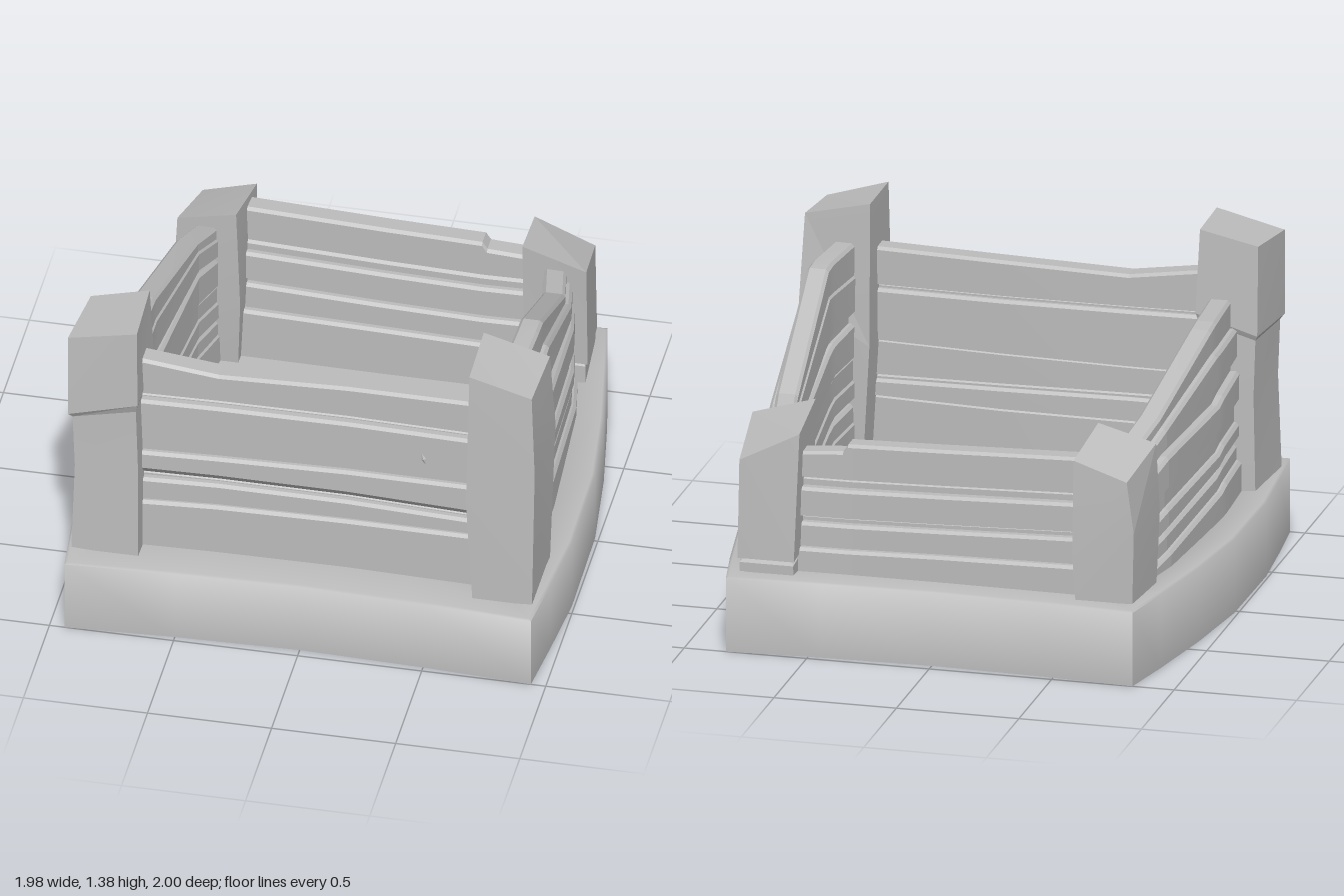
import * as THREE from 'three';
import { toCreasedNormals } from 'three/addons/utils/BufferGeometryUtils.js';

const wood = new THREE.MeshStandardMaterial({ color: 0xbcbcbc });
wood.name = 'weathered wood';

// Skin a list of equal-length rings of [x, y, z]; closed lofts join end to start, open ones get caps.
function loft(name, rings, closed = false, crease = 0.1) {
  const tris = [];
  const m = rings[0].length;
  const steps = closed ? rings.length : rings.length - 1;
  for (let i = 0; i < steps; i++) {
    const a = rings[i], b = rings[(i + 1) % rings.length];
    for (let j = 0; j < m; j++) {
      const k = (j + 1) % m;
      tris.push([a[j], b[j], b[k]], [a[j], b[k], a[k]]);
    }
  }
  if (!closed) {
    const first = rings[0], last = rings[rings.length - 1];
    for (let j = 1; j < m - 1; j++) {
      tris.push([first[0], first[j], first[j + 1]], [last[0], last[j + 1], last[j]]);
    }
  }
  // Turn the skin outward if its signed volume is negative
  let volume = 0;
  for (const [p, q, r] of tris) {
    volume += p[0] * (q[1] * r[2] - q[2] * r[1]) + p[1] * (q[2] * r[0] - q[0] * r[2])
      + p[2] * (q[0] * r[1] - q[1] * r[0]);
  }
  const flat = tris.flatMap(([p, q, r]) => (volume < 0 ? [p, r, q] : [p, q, r])).flat();
  const geo = new THREE.BufferGeometry();
  geo.setAttribute('position', new THREE.Float32BufferAttribute(flat, 3));
  const mesh = new THREE.Mesh(toCreasedNormals(geo, crease), wood);
  mesh.name = name;
  return mesh;
}

// Stacked bevelled planks. stations: [x, z, heights]; n: outward [x, z];
// depths per plank: [outer, inner, height of the slanted underside]
function plankWall(name, stations, n, depths) {
  const wall = new THREE.Group();
  wall.name = name;
  depths.forEach(([out, inn, under = 0.004], k) => {
    const rings = stations.map(([x, z, h]) => {
      const lo = h[k], hi = h[k + 1], b = 0.012;
      return [[-inn, lo], [-inn, hi - b], [b - inn, hi], [out - b, hi], [out, hi - b], [out, lo + under], [out - 0.03, lo]]
        .map(([d, y]) => [x + n[0] * d, y, z + n[1] * d]);
    });
    wall.add(loft(name + 'Plank', rings));
  });
  return wall;
}

// Post from levels [one height or corner heights, four [x, z] corners]
function post(name, levels) {
  return loft(name, levels.map(([y, pts]) =>
    pts.map(([x, z], i) => [x, Array.isArray(y) ? y[i] : y, z])));
}

export function createModel() {
  const model = new THREE.Group();
  model.name = 'plankEnclosure';

  // Curved base frame with softly shaded edges
  const half = [[0, -0.96], [0.45, -0.975], [0.83, -1], [0.88, -0.75], [0.94, -0.4], [0.985, -0.02],
    [0.99, 0.45], [0.965, 0.75], [0.94, 1], [0.5, 0.975], [0, 0.96]];
  const outline = [...half, ...half.slice(1, -1).reverse().map(([x, z]) => [-x, z])];
  model.add(loft('baseFrame', outline.map(([x, z]) => [
    [x, 0, z], [x, 0.305, z], [x * 0.988, 0.31, z * 0.988], [x * 0.8, 0.3, z * 0.77],
    [x * 0.74, 0.17, z * 0.74], [x * 0.66, 0.14, z * 0.68], [x * 0.66, 0.025, z * 0.68],
  ]), true, 1.2));

  // Floor boards: bevelled below, stepping down to the next board above
  const seams = [[-0.78, -0.78, -0.78], [-0.5, -0.49, -0.48], [-0.42, -0.4, -0.4], [-0.26, -0.255, -0.24],
    [-0.03, -0.035, -0.03], [0.18, 0.13, 0.165], [0.28, 0.3, 0.27], [0.54, 0.54, 0.57], [0.8, 0.78, 0.8]];
  const floor = new THREE.Group();
  floor.name = 'floor';
  for (let k = 0; k < seams.length - 1; k++) {
    const lift = (k % 3) * 0.008;
    floor.add(loft('floorBoard', [-0.75, -0.43, 0.75].map((x, i) => {
      const a = seams[k][i], b = seams[k + 1][i];
      return [[x, 0.155, a], [x, 0.185 + lift, a], [x, 0.2 + lift, a + 0.03],
        [x, 0.2 + lift, b - 0.014], [x, 0.165, b], [x, 0.155, b],
        [x, 0.125 + lift, b - 0.02], [x, 0.125 + lift, a + 0.014]];
    })));
  }
  model.add(floor);

  // Front wall
  model.add(plankWall('frontWall', [
    [-0.7, 0.735, [0.17, 0.51, 0.61, 0.635, 0.745, 0.98, 1.0, 1.175]],
    [-0.37, 0.725, [0.17, 0.52, 0.615, 0.635, 0.75, 0.98, 1.0, 1.13]],
    [0.15, 0.72, [0.17, 0.525, 0.61, 0.63, 0.76, 0.98, 1.0, 1.145]],
    [0.7, 0.735, [0.17, 0.535, 0.6, 0.62, 0.77, 0.98, 1.0, 1.155]],
  ], [0, 1], [[0.065, 0.045], [0.05, 0.055], [0.025, 0.04], [0.06, 0.05, 0.035],
    [0.04, 0.065], [0.01, 0.04], [0.03, 0.065, 0.012]]));

  // Back wall, lower, with a chipped top end
  model.add(plankWall('backWall', [
    [-0.59, -0.755, [0.17, 0.42, 0.53, 0.56, 0.68, 0.72, 0.87]],
    [0.0, -0.75, [0.17, 0.41, 0.51, 0.54, 0.66, 0.7, 0.85]],
    [0.38, -0.75, [0.17, 0.4, 0.5, 0.53, 0.65, 0.69, 0.84]],
    [0.4, -0.75, [0.17, 0.4, 0.5, 0.53, 0.65, 0.69, 0.81]],
    [0.6, -0.755, [0.17, 0.4, 0.5, 0.53, 0.65, 0.69, 0.795]],
  ], [0, -1], [[0.08, 0.09], [0.06, 0.06], [0.035, 0.03], [0.075, 0.06], [0.045, 0.03], [0.07, 0.02]]));

  // Side walls slope down to the back; the right one is lower at the front
  const sideHeights = [
    [0.17, 0.46, 0.535, 0.56, 0.635, 0.73, 0.87, 0.92, 1.065, 1.195],
    [0.17, 0.46, 0.535, 0.565, 0.64, 0.735, 0.865, 0.92, 1.08, 1.205],
    [0.17, 0.445, 0.52, 0.55, 0.625, 0.715, 0.85, 0.915, 1.085, 1.2],
    [0.17, 0.355, 0.425, 0.445, 0.525, 0.6, 0.73, 0.755, 0.84, 0.885],
    [0.17, 0.33, 0.395, 0.41, 0.49, 0.57, 0.69, 0.705, 0.79, 0.845],
  ];
  const sideZ = [0.6, 0.3, 0.22, -0.4, -0.64];
  const sideX = [0.77, 0.785, 0.785, 0.745, 0.7];
  const rightScale = [0.9, 0.89, 0.885, 1.05, 1];
  for (const s of [1, -1]) {
    model.add(plankWall(s > 0 ? 'leftWall' : 'rightWall',
      sideZ.map((z, i) => [s * sideX[i], z,
        sideHeights[i].map((h) => (s > 0 ? h : 0.17 + (h - 0.17) * rightScale[i]))]), [s, 0],
      [[0.085, 0.055], [0.065, 0.05], [0.045, 0.03], [0.075, 0.055, 0.012], [0.055, 0.05],
        [0.075, 0.055, 0.012], [0.04, 0.03], [0.065, 0.055, 0.015], [0.04, 0.05]]));
  }

  // Corner posts; corners run back-inner, back-outer, front-outer, front-inner
  model.add(post('frontLeftPost', [
    [0.16, [[0.69, 0.55], [0.92, 0.56], [0.92, 0.895], [0.69, 0.895]]],
    [[0.78, 0.95, 0.93, 0.76], [[0.655, 0.54], [0.945, 0.55], [0.93, 0.88], [0.655, 0.89]]],
    [[1.365, 1.3, 1.285, 1.36], [[0.66, 0.57], [0.93, 0.585], [0.915, 0.865], [0.665, 0.87]]],
  ]));
  model.add(post('frontRightPost', [
    [0.16, [[-0.665, 0.56], [-0.915, 0.57], [-0.94, 0.89], [-0.665, 0.89]]],
    [0.7, [[-0.67, 0.56], [-0.905, 0.57], [-0.925, 0.87], [-0.67, 0.87]]],
    [[1.0, 0.93, 0.93, 0.99], [[-0.68, 0.57], [-0.91, 0.58], [-0.935, 0.865], [-0.68, 0.865]]],
    [[1.03, 0.95, 0.95, 1.03], [[-0.67, 0.56], [-0.92, 0.57], [-0.95, 0.88], [-0.67, 0.88]]],
    [[1.375, 1.32, 1.305, 1.37], [[-0.685, 0.575], [-0.92, 0.585], [-0.955, 0.86], [-0.675, 0.87]]],
  ]));
  model.add(post('backLeftPost', [
    [0.16, [[0.58, -0.9], [0.8, -0.9], [0.82, -0.62], [0.58, -0.62]]],
    [[0.345, 0.345, 0.385, 0.385], [[0.58, -0.905], [0.8, -0.905], [0.82, -0.62], [0.58, -0.62]]],
    [[0.355, 0.355, 0.395, 0.395], [[0.59, -0.885], [0.79, -0.885], [0.81, -0.635], [0.59, -0.635]]],
    [[0.365, 0.365, 0.4, 0.4], [[0.575, -0.915], [0.805, -0.915], [0.83, -0.615], [0.575, -0.615]]],
    [[0.89, 0.77, 0.865, 0.945], [[0.56, -0.885], [0.8, -0.905], [0.83, -0.59], [0.57, -0.6]]],
  ]));
  model.add(post('backRightPost', [
    [0.16, [[-0.58, -0.9], [-0.8, -0.9], [-0.82, -0.62], [-0.58, -0.62]]],
    [[0.5, 0.6, 0.6, 0.5], [[-0.56, -0.91], [-0.81, -0.905], [-0.835, -0.6], [-0.565, -0.59]]],
    [[0.88, 0.81, 0.88, 0.94], [[-0.56, -0.89], [-0.78, -0.9], [-0.82, -0.6], [-0.58, -0.585]]],
  ]));

  // Small splinters on the planks
  for (const [x, y, z, lying] of [[0.46, 0.86, 0.765, 0], [0.43, 0.21, -0.15, 1], [-0.45, 0.205, 0.29, 1], [0.25, 0.205, 0.55, 1]]) {
    const chip = new THREE.Mesh(new THREE.OctahedronGeometry(0.04), wood);
    chip.name = 'splinter';
    chip.scale.set(0.4, 1, 0.25);
    chip.rotation.set(lying * Math.PI / 2, 0, lying ? 0 : 0.3);
    chip.position.set(x, y, z);
    model.add(chip);
  }
  return model;
}
